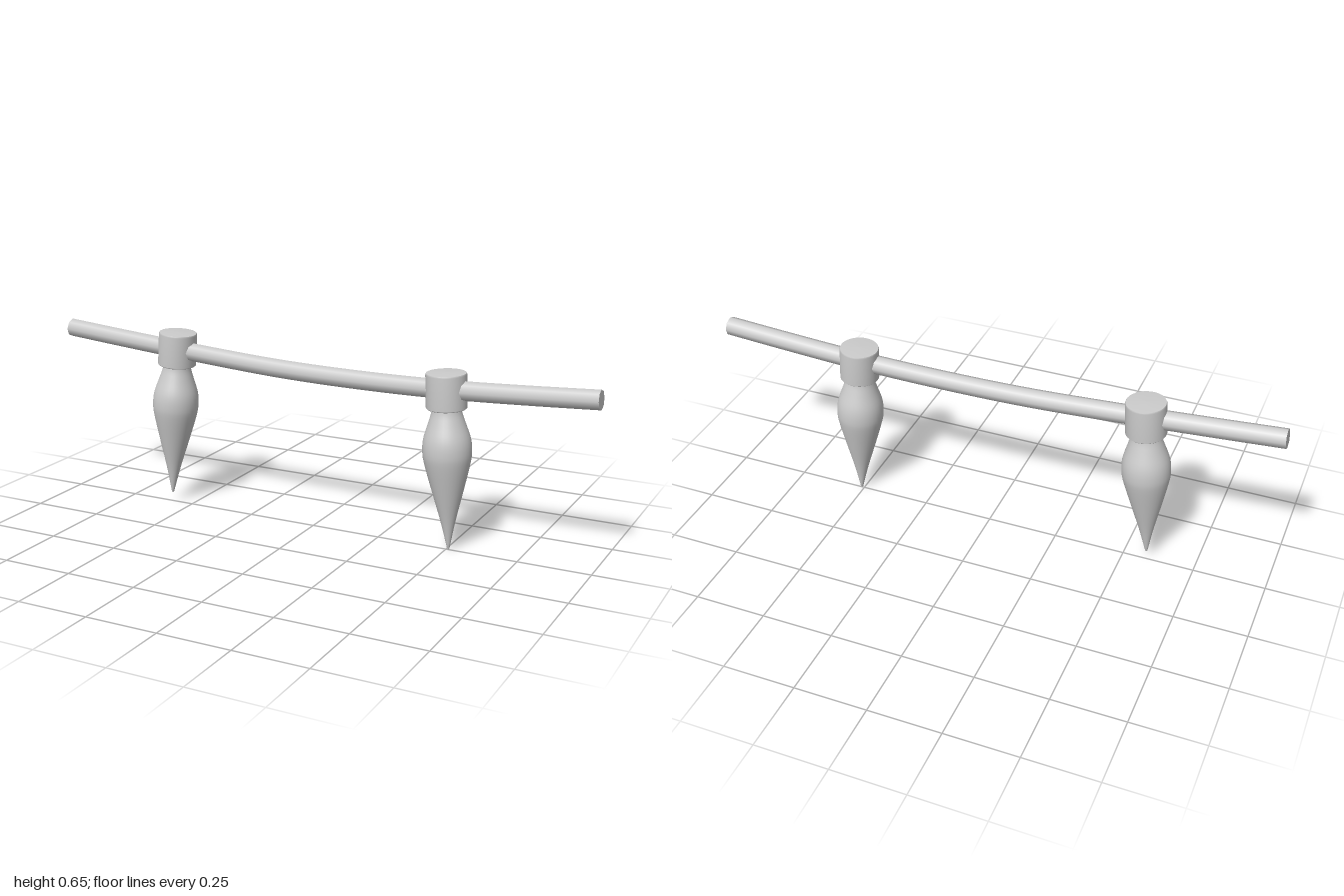
import * as THREE from 'three';

const material = new THREE.MeshStandardMaterial({ color: 0xcccccc });

function mesh(name, geometry) {
  const m = new THREE.Mesh(geometry, material);
  m.name = name;
  return m;
}

// Surface of revolution from [radius, height] pairs, listed from the bottom up
function lathe(points) {
  return new THREE.LatheGeometry(points.map(([r, y]) => new THREE.Vector2(r, y)), 32);
}

// Pointed peg with a collar, its origin at the tip
function createPeg(name, x, y, tilt) {
  const peg = new THREE.Group();
  peg.name = name;

  // Bulb that tapers smoothly to a point, drawn as a spline profile
  const profile = new THREE.SplineCurve([
    [0.004, 0.004], [0.025, 0.1], [0.051, 0.2], [0.076, 0.3], [0.082, 0.345],
    [0.078, 0.39], [0.062, 0.44], [0.051, 0.475], [0.047, 0.5],
  ].map(([r, h]) => new THREE.Vector2(r, h)));
  const bulb = profile.getPoints(28).map((p) => [p.x, p.y]);
  peg.add(mesh('spike', lathe([[0, 0], ...bulb])));

  // Collar walls with a small bevel, plus slightly domed top
  peg.add(mesh('collar', lathe([
    [0, 0.49], [0.064, 0.49], [0.068, 0.494], [0.068, 0.604], [0.066, 0.609],
  ])));
  peg.add(mesh('collarTop', lathe([[0.066, 0.609], [0.04, 0.611], [0, 0.612]])));

  peg.position.set(x, y, 0);
  peg.rotation.z = tilt;
  return peg;
}

// Gently sagging eight-sided rod with flat ends
function createRod() {
  const rod = new THREE.Group();
  rod.name = 'rod';
  const radius = 0.033;
  const curve = new THREE.CatmullRomCurve3([
    [-0.998, 0.615], [-0.75, 0.595], [-0.45, 0.573], [-0.12, 0.554], [0.2, 0.549],
    [0.5, 0.554], [0.75, 0.566], [0.998, 0.581],
  ].map(([x, y]) => new THREE.Vector3(x, y, 0.004)));
  rod.add(mesh('rodBody', new THREE.TubeGeometry(curve, 40, radius, 8)));

  for (const end of [0, 1]) {
    const cap = mesh('rodEnd', new THREE.CircleGeometry(radius, 8));
    const t = curve.getTangentAt(end);
    cap.position.copy(curve.getPointAt(end));
    cap.rotation.set(0, (end ? 1 : -1) * Math.PI / 2, Math.atan2(t.y, t.x), 'ZYX');
    rod.add(cap);
  }
  return rod;
}

export function createModel() {
  const model = new THREE.Group();
  model.name = 'rodWithPegs';
  model.add(createRod());
  model.add(createPeg('rightPeg', -0.582, 0.032, -0.07));
  model.add(createPeg('leftPeg', 0.509, 0, 0.042));
  return model;
}
